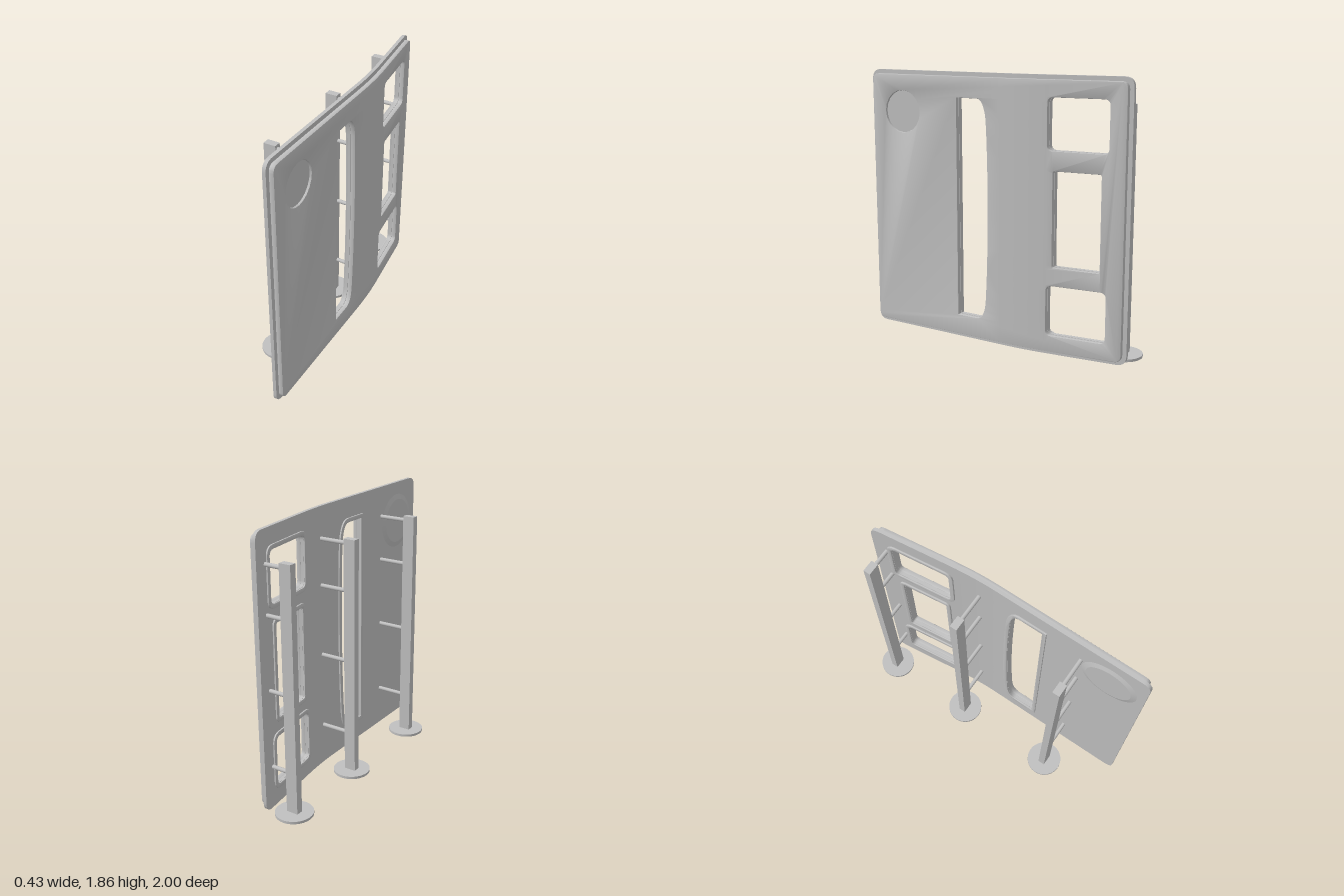
import * as THREE from 'three';
import { toCreasedNormals } from 'three/addons/utils/BufferGeometryUtils.js';

const grey = new THREE.MeshStandardMaterial({ color: 0xc0c0c0 });
grey.name = 'grey';

// sideways sweep of the panel towards its rear edge
const BEND_START = -0.08, BEND_END = -0.42, SLOPE = 0.122;
function bend(z) {
  if (z > BEND_START) return 0;
  const length = BEND_START - BEND_END;
  if (z > BEND_END) return -SLOPE * (BEND_START - z) ** 2 / (2 * length);
  return -SLOPE * (length / 2 + BEND_END - z);
}

// cut triangles along planes of constant z, so that the sheet can bend smoothly
function slice(triangles, z) {
  const out = [];
  for (const tri of triangles) {
    const side = tri.map((p) => (Math.abs(p.z - z) < 1e-6 ? 0 : Math.sign(p.z - z)));
    if (!(side.includes(1) && side.includes(-1))) { out.push(tri); continue; }
    const above = [], below = [];
    for (let i = 0; i < 3; i++) {
      const a = tri[i], b = tri[(i + 1) % 3];
      if (side[i] >= 0) above.push(a);
      if (side[i] <= 0) below.push(a);
      if (side[i] * side[(i + 1) % 3] < 0) {
        const cut = a.clone().lerp(b, (z - a.z) / (b.z - a.z));
        above.push(cut);
        below.push(cut);
      }
    }
    for (const poly of [above, below]) {
      for (let i = 1; i < poly.length - 1; i++) out.push([poly[0], poly[i], poly[i + 1]]);
    }
  }
  return out;
}

// extrude a side outline (u = -z, y) from x0 to x1 and bend it
function sheet(name, shape, x0, x1, bevel = 0) {
  let geo = new THREE.ExtrudeGeometry(shape, {
    depth: x1 - x0 - 2 * bevel, curveSegments: 10, bevelEnabled: bevel > 0,
    bevelThickness: bevel, bevelSize: bevel, bevelOffset: -bevel, bevelSegments: 2,
  });
  geo.translate(0, 0, x0 + bevel).rotateY(Math.PI / 2);
  if (geo.index) geo = geo.toNonIndexed();
  const pos = geo.attributes.position;
  let tris = [];
  for (let i = 0; i < pos.count; i += 3) {
    tris.push([0, 1, 2].map((k) => new THREE.Vector3().fromBufferAttribute(pos, i + k)));
  }
  for (let i = 0; i <= 8; i++) tris = slice(tris, BEND_START + (BEND_END - BEND_START) * i / 8);
  const points = tris.flat().map((p) => new THREE.Vector3(p.x + bend(p.z), p.y, p.z));
  const bent = toCreasedNormals(new THREE.BufferGeometry().setFromPoints(points), 0.5);
  const mesh = new THREE.Mesh(bent, grey);
  mesh.name = name;
  return mesh;
}

function roundedRect(Type, u0, u1, y0, y1, r) {
  const s = new Type();
  s.moveTo(u0 + r, y0);
  s.lineTo(u1 - r, y0);
  s.quadraticCurveTo(u1, y0, u1, y0 + r);
  s.lineTo(u1, y1 - r);
  s.quadraticCurveTo(u1, y1, u1 - r, y1);
  s.lineTo(u0 + r, y1);
  s.quadraticCurveTo(u0, y1, u0, y1 - r);
  s.lineTo(u0, y0 + r);
  s.quadraticCurveTo(u0, y0, u0 + r, y0);
  return s;
}

// tall slot: straight on one side, bowed on the other; g grows the outline
function slot(Type, g) {
  const s = new Type();
  s.moveTo(-0.26 - g, 0.17 - g);
  s.lineTo(-0.11, 0.17 - g);
  s.bezierCurveTo(-0.06 + g, 0.17 - g, -0.04 + g, 0.23, -0.034 + g, 0.3);
  s.bezierCurveTo(-0.01 + g, 0.65, -0.008 + g, 1.2, -0.028 + g, 1.55);
  s.bezierCurveTo(-0.035 + g, 1.62, -0.055 + g, 1.69 + g, -0.1, 1.69 + g);
  s.lineTo(-0.26 - g, 1.69 + g);
  s.closePath();
  return s;
}

const openings = [
  slot,
  (Type, g) => roundedRect(Type, 0.425 - g, 0.835 + g, 1.38 - g, 1.72 + g, 0.04 + g),
  (Type, g) => roundedRect(Type, 0.465 - g, 0.79 + g, 0.61 - g, 1.25 + g, 0.015 + g),
  (Type, g) => roundedRect(Type, 0.425 - g, 0.835 + g, 0.14 - g, 0.485 + g, 0.04 + g),
];
const holes = () => openings.map((make) => make(THREE.Path, 0));

export function createModel() {
  const model = new THREE.Group();
  model.name = 'panelOnPosts';

  // panel: full-size back sheet and slightly smaller front sheet
  const panel = new THREE.Group();
  panel.name = 'panel';
  model.add(panel);
  const back = roundedRect(THREE.Shape, -1, 0.97, 0, 1.86, 0.07);
  back.holes = holes();
  panel.add(sheet('backSheet', back, 0.15, 0.174));
  const front = roundedRect(THREE.Shape, -0.972, 0.945, 0.028, 1.832, 0.05);
  const round = new THREE.Path().absarc(-0.715, 1.575, 0.147, 0, Math.PI * 2);
  front.holes = [...holes(), round];
  panel.add(sheet('frontSheet', front, 0.174, 0.208, 0.005));

  // shallow round recess floor, with a low boss behind it
  const floor = new THREE.Shape().absarc(-0.715, 1.575, 0.15, 0, Math.PI * 2);
  panel.add(sheet('recessFloor', floor, 0.17, 0.192));
  const boss = new THREE.Mesh(new THREE.CylinderGeometry(0.16, 0.2, 0.012, 40), grey);
  boss.name = 'recessBoss';
  boss.rotation.z = Math.PI / 2;
  boss.position.set(0.145, 1.575, 0.75);
  panel.add(boss);

  // raised rims behind the openings
  for (const make of openings) {
    const rim = make(THREE.Shape, 0.03);
    rim.holes = [make(THREE.Path, 0)];
    panel.add(sheet('openingRim', rim, 0.138, 0.151, 0.004));
  }

  // posts with round feet and four pegs each
  for (const z of [-0.875, -0.21, 0.54]) {
    const support = new THREE.Group();
    support.name = 'support';
    support.position.set(-0.09, 0, z);
    const add = (name, geo, x, y) => {
      const mesh = new THREE.Mesh(geo, grey);
      mesh.name = name;
      mesh.position.set(x, y, 0);
      support.add(mesh);
    };
    add('foot', new THREE.CylinderGeometry(0.127, 0.127, 0.018, 48), 0, 0.009);
    add('post', new THREE.BoxGeometry(0.084, 1.66, 0.05), 0, 0.848);
    const reach = 0.155 + bend(z) + 0.09 - 0.04;
    for (const y of [0.293, 0.828, 1.325, 1.645]) {
      const peg = new THREE.CylinderGeometry(0.014, 0.014, reach, 16).rotateZ(Math.PI / 2);
      add('peg', peg, 0.04 + reach / 2, y);
    }
    model.add(support);
  }
  return model;
}
